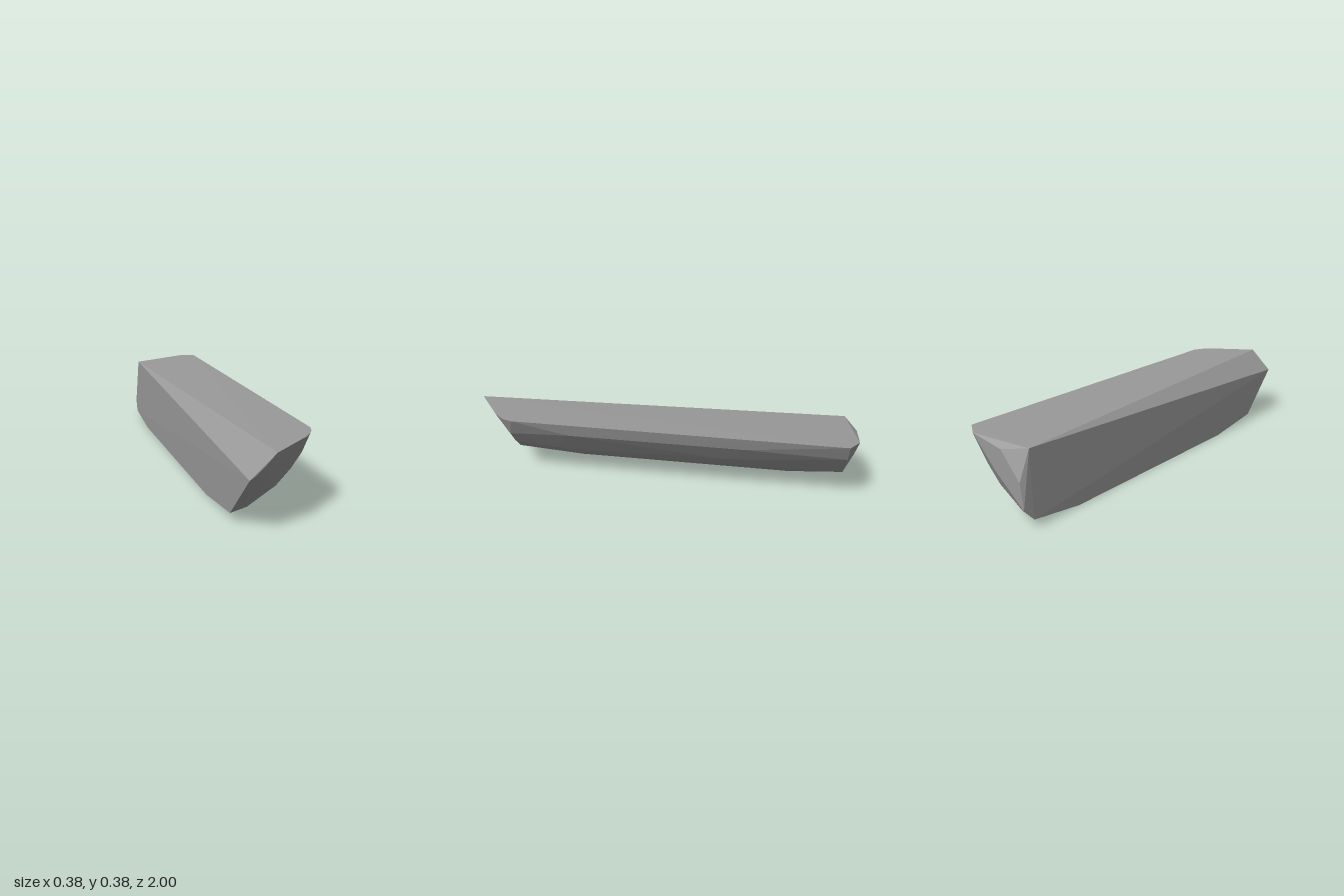
import * as THREE from 'three';
import { ConvexGeometry } from 'three/addons/geometries/ConvexGeometry.js';

export function createModel() {
  const group = new THREE.Group();
  const grey = new THREE.MeshStandardMaterial({ color: 0x999999 });
  grey.name = 'grey';

  // cross-sections along the length: z, then [x, y] corners
  const sections = [
    // chamfered front tip
    { z: 1, corners: [[-0.193, 0.27], [-0.165, 0.287], [-0.13, 0.318], [-0.075, 0.375]] },
    // front shoulder
    { z: 0.78, corners: [[-0.193, 0.04], [-0.115, 0.058], [0.02, 0.14], [0.09, 0.212], [0.14, 0.28]] },
    // main quarter-round body
    { z: 0.46, corners: [[-0.193, 0], [-0.155, 0.014], [-0.09, 0.05], [0.025, 0.13], [0.17, 0.31]] },
    { z: 0.56, corners: [[0.07, 0.175]] },
    { z: -0.35, corners: [[0.025, 0.13], [0.098, 0.205]] },
    { z: -0.45, corners: [[0.17, 0.31]] },
    { z: -0.68, corners: [[-0.193, 0], [-0.155, 0.014], [-0.09, 0.05]] },
    // back shoulder
    { z: -0.95, corners: [[-0.193, 0.038], [-0.12, 0.055], [0.02, 0.14], [0.09, 0.212], [0.15, 0.29], [0.192, 0.38]] },
    // bevelled back end
    { z: -1, corners: [[0.12, 0.375], [-0.06, 0.345], [-0.17, 0.22], [-0.187, 0.095], [-0.02, 0.23]] },
  ];
  const points = sections.flatMap(({ z, corners }) =>
    corners.map(([x, y]) => new THREE.Vector3(x, y, z)));

  // rounded front corner of the top and its inner back corner
  points.push(
    new THREE.Vector3(0.192, 0.381, 0.75),
    new THREE.Vector3(0.178, 0.38, 0.79),
    new THREE.Vector3(0.155, 0.38, 0.825),
    new THREE.Vector3(0.12, 0.379, 0.86),
    new THREE.Vector3(-0.178, 0.362, -0.945),
  );

  const block = new THREE.Mesh(new ConvexGeometry(points), grey);
  block.name = 'facetedBlock';
  group.add(block);
  return group;
}
